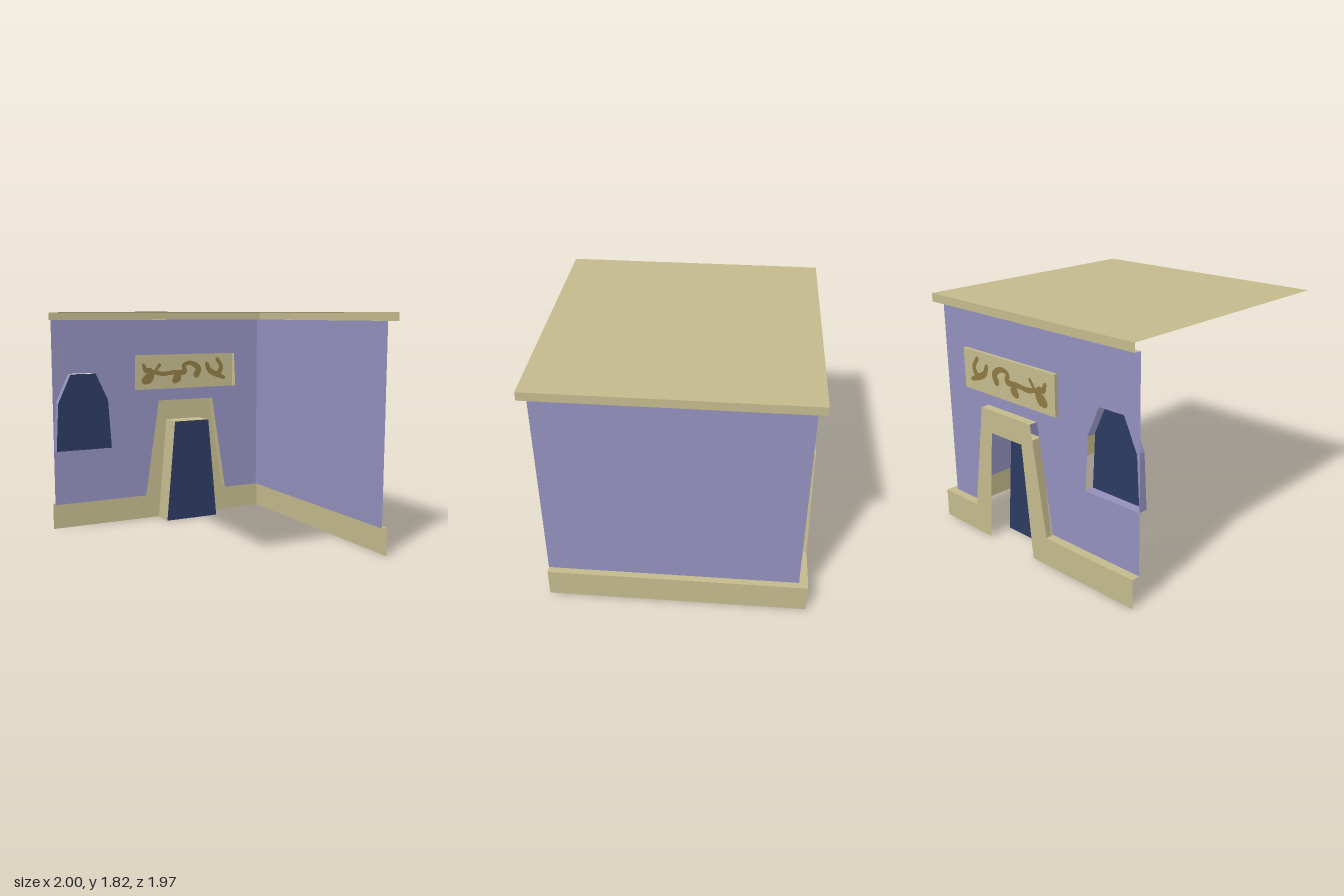
import * as THREE from 'three';
import { mergeGeometries } from 'three/addons/utils/BufferGeometryUtils.js';

const flat = (name, color) => {
  const m = new THREE.MeshStandardMaterial({ color, side: THREE.DoubleSide });
  m.name = name;
  return m;
};

// key planes
const WALL = -0.92, FRONT = -0.985, SIGN = -0.947, PANE = -0.85, DOOR = -0.8;
const WALL_X = 0.94, SKIRT_X = 0.99, ROOF_X = 1, ROOF_Z = -0.975;
const BASE = 0.22, EAVE = 1.755, TOP = 1.818, OPEN = 0.934;

// outlines as [x, y]
const frameOut = [[-0.18, BASE], [-0.05, 1.055], [0.475, 1.055], [0.61, BASE]];
const doorOut = [[-0.03, 0], [0.05, 0.877], [0.375, 0.877], [0.455, 0]];
const windowOut = [[-0.518, 0.682], [-0.998, 0.682], [-0.975, 1.08], [-0.865, 1.315], [-0.65, 1.315], [-0.545, 1.09]];
const signHole = [[-0.27, 1.155], [0.715, 1.158], [0.7, 1.455], [-0.27, 1.455]];
const signFace = [[-0.27, 1.152], [0.695, 1.152], [0.695, 1.455], [-0.27, 1.455]];

const vecs = (pts) => pts.map(([x, y]) => new THREE.Vector2(x, y));

// flat sheet with holes, standing at depth z
function sheet(outline, z, holes = []) {
  const shape = new THREE.Shape(vecs(outline));
  holes.forEach((h) => shape.holes.push(new THREE.Path(vecs(h))));
  return new THREE.ShapeGeometry(shape).translate(0, 0, z);
}

function quad(a, b, c, d) {
  const g = new THREE.BufferGeometry();
  g.setAttribute('position', new THREE.Float32BufferAttribute([...a, ...b, ...c, ...d], 3));
  g.setAttribute('uv', new THREE.Float32BufferAttribute([0, 0, 1, 0, 1, 1, 0, 1], 2));
  g.setIndex([0, 1, 2, 0, 2, 3]);
  g.computeVertexNormals();
  return g;
}

// strip joining edge p-q at depth z0 to edge p2-q2 at depth z1
const reveal = (p, q, z0, z1, p2 = p, q2 = q) =>
  quad([...p, z0], [...p2, z1], [...q2, z1], [...q, z0]);

// ribbon of changing half-width with round ends; points are [x, y, w] in hundredths
function stroke(points, z) {
  const curve = new THREE.CatmullRomCurve3(points.map(([x, y, w]) => new THREE.Vector3(x / 100, y / 100, w / 100)));
  const pts = curve.getPoints(points.length * 5);
  const parts = [];
  const edge = pts.map((p, i) => {
    const a = pts[Math.max(i - 1, 0)], b = pts[Math.min(i + 1, pts.length - 1)];
    const t = new THREE.Vector2(b.x - a.x, b.y - a.y).normalize();
    return [[p.x - t.y * p.z, p.y + t.x * p.z, z], [p.x + t.y * p.z, p.y - t.x * p.z, z]];
  });
  for (let i = 1; i < pts.length; i++) {
    parts.push(quad(edge[i - 1][0], edge[i - 1][1], edge[i][1], edge[i][0]));
  }
  for (const p of [pts[0], pts[pts.length - 1]]) {
    parts.push(new THREE.CircleGeometry(p.z, 12).translate(p.x, p.y, z));
  }
  return mergeGeometries(parts);
}

export function createModel() {
  const group = new THREE.Group();
  const sand = flat('sand trim', 0xc3ba8d);
  const lilac = flat('lilac plaster', 0x9390bd);
  const navy = flat('navy panel', 0x2c3a63);
  const brown = flat('brown paint', 0x8f7a43);
  const add = (name, material, ...geos) => {
    const mesh = new THREE.Mesh(geos.length > 1 ? mergeGeometries(geos) : geos[0], material);
    mesh.name = name;
    group.add(mesh);
  };

  // walls, with openings for doorway, window and sign
  add('doorWall', lilac, sheet(
    [[-1, BASE], ...frameOut, [WALL_X, BASE], [WALL_X, EAVE], [-1, EAVE]], WALL, [windowOut, signHole]));
  add('sideWall', lilac, quad(
    [WALL_X, BASE, OPEN], [WALL_X, BASE, WALL], [WALL_X, EAVE, WALL], [WALL_X, EAVE, OPEN]));

  // skirting and doorway frame share one face
  add('doorFrameAndSkirting', sand,
    sheet([[-1, 0], doorOut[0], doorOut[1], doorOut[2], doorOut[3], [SKIRT_X, 0], [SKIRT_X, BASE],
      ...[...frameOut].reverse(), [-1, BASE]], FRONT),
    reveal([-1, BASE], frameOut[0], FRONT, WALL),
    reveal(frameOut[1], frameOut[2], FRONT, WALL),
    reveal(frameOut[2], frameOut[3], FRONT, WALL),
    reveal(frameOut[3], [SKIRT_X, BASE], FRONT, WALL));
  add('doorReveal', sand,
    reveal(doorOut[0], doorOut[1], FRONT, DOOR),
    reveal(doorOut[1], doorOut[2], FRONT, DOOR));
  add('sideSkirting', sand,
    quad([SKIRT_X, 0, OPEN], [SKIRT_X, 0, FRONT], [SKIRT_X, BASE, FRONT], [SKIRT_X, BASE, OPEN]),
    quad([WALL_X, BASE, OPEN], [SKIRT_X, BASE, OPEN], [SKIRT_X, BASE, WALL], [WALL_X, BASE, WALL]));
  add('door', navy, sheet(doorOut, DOOR));

  // recessed window
  add('windowPane', navy, sheet(windowOut, PANE));
  add('windowReveal', lilac, ...[0, 1, 2].map((i) => reveal(windowOut[i], windowOut[i + 1], WALL, PANE)));

  // roof sheet with lips on the two walled sides
  add('roof', sand,
    quad([-1, TOP, 0.985], [ROOF_X, TOP, 0.985], [ROOF_X, TOP, ROOF_Z], [-1, TOP, ROOF_Z]),
    quad([ROOF_X, EAVE, 0.985], [ROOF_X, EAVE, ROOF_Z], [ROOF_X, TOP, ROOF_Z], [ROOF_X, TOP, 0.985]),
    quad([ROOF_X, EAVE, ROOF_Z], [-1, EAVE, ROOF_Z], [-1, TOP, ROOF_Z], [ROOF_X, TOP, ROOF_Z]),
    quad([WALL_X, EAVE, WALL], [ROOF_X, EAVE, ROOF_Z], [ROOF_X, EAVE, 0.985], [WALL_X, EAVE, 0.985]),
    quad([-1, EAVE, ROOF_Z], [ROOF_X, EAVE, ROOF_Z], [WALL_X, EAVE, WALL], [-1, EAVE, WALL]));

  // sign board with abstract painted squiggles on both faces
  add('signBoard', sand, sheet(signFace, SIGN), ...signFace.map((p, i) => {
    const j = (i + 1) % 4;
    return reveal(p, signFace[j], SIGN, WALL, signHole[i], signHole[j]);
  }));
  const squiggles = [
    [[-18, 136.5, 1.5], [-16, 132, 2.3], [-11.5, 131.5, 2.3], [-11, 128, 3.2], [-14, 124.5, 4.5], [-16.5, 123, 3.5]],
    [[-10, 131, 1.5], [-5, 129.5, 1.8], [0, 128.5, 2], [6, 129, 1.8], [13, 129, 2.5], [14, 124.5, 3.8], [12, 122.5, 3]],
    [[-7, 131, 1.3], [-3, 136.5, 1.5]],
    [[15, 129, 2.3], [21.5, 130, 2.3], [20.5, 135, 2], [25, 137.5, 1.8], [31, 136, 2.3], [35, 132, 2.8], [33, 127, 3]],
    [[43.5, 136, 2], [46, 130.5, 2.3], [52, 127, 2.5], [60.5, 123.5, 1.6]],
    [[54, 140, 1.8], [58, 133, 2], [55.5, 128, 2.3], [52, 126.5, 2]],
  ];
  add('signSquiggles', brown, ...[SIGN - 0.004, SIGN + 0.004].flatMap((z) =>
    squiggles.map((s) => stroke(s, z))).map((g) => g.toNonIndexed()));

  return group;
}
